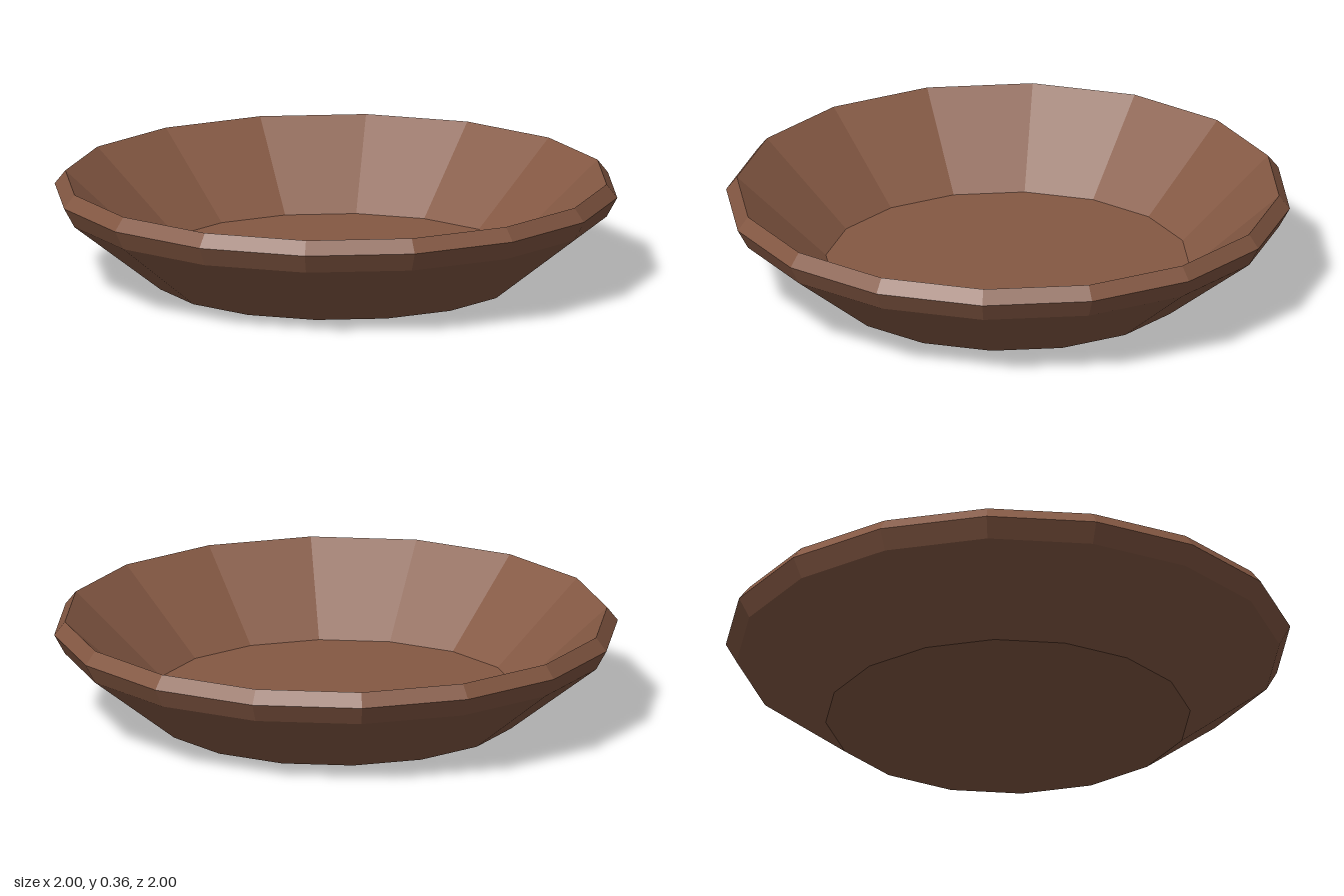
import * as THREE from 'three';

const SIDES = 16;

export function createModel() {
  const brown = new THREE.MeshStandardMaterial({ color: 0x845843, flatShading: true });
  brown.name = 'brown';

  const model = new THREE.Group();
  model.name = 'bowl';

  // Turns a [radius, height] profile into a faceted ring; outward side faces right of the path
  const addRing = (name, profile) => {
    const points = profile.map(([r, y]) => new THREE.Vector2(r, y));
    const geometry = new THREE.LatheGeometry(points, SIDES).toNonIndexed();
    geometry.computeVertexNormals();
    const mesh = new THREE.Mesh(geometry, brown);
    mesh.name = name;
    model.add(mesh);
  };

  // Flat sixteen-sided disc, facing up or down
  const addDisc = (name, radius, y, up) => {
    const geometry = new THREE.CircleGeometry(radius, SIDES);
    geometry.rotateX(up ? -Math.PI / 2 : Math.PI / 2);
    const mesh = new THREE.Mesh(geometry, brown);
    mesh.position.y = y;
    mesh.name = name;
    model.add(mesh);
  };

  addDisc('base', 0.646, 0, false);
  addRing('outerWall', [[0.646, 0], [0.962, 0.247]]);
  addRing('rim', [[0.962, 0.247], [1, 0.316], [0.962, 0.364]]);
  addRing('innerWall', [[0.962, 0.364], [0.646, 0.078]]);
  addDisc('floor', 0.646, 0.078, true);

  return model;
}
